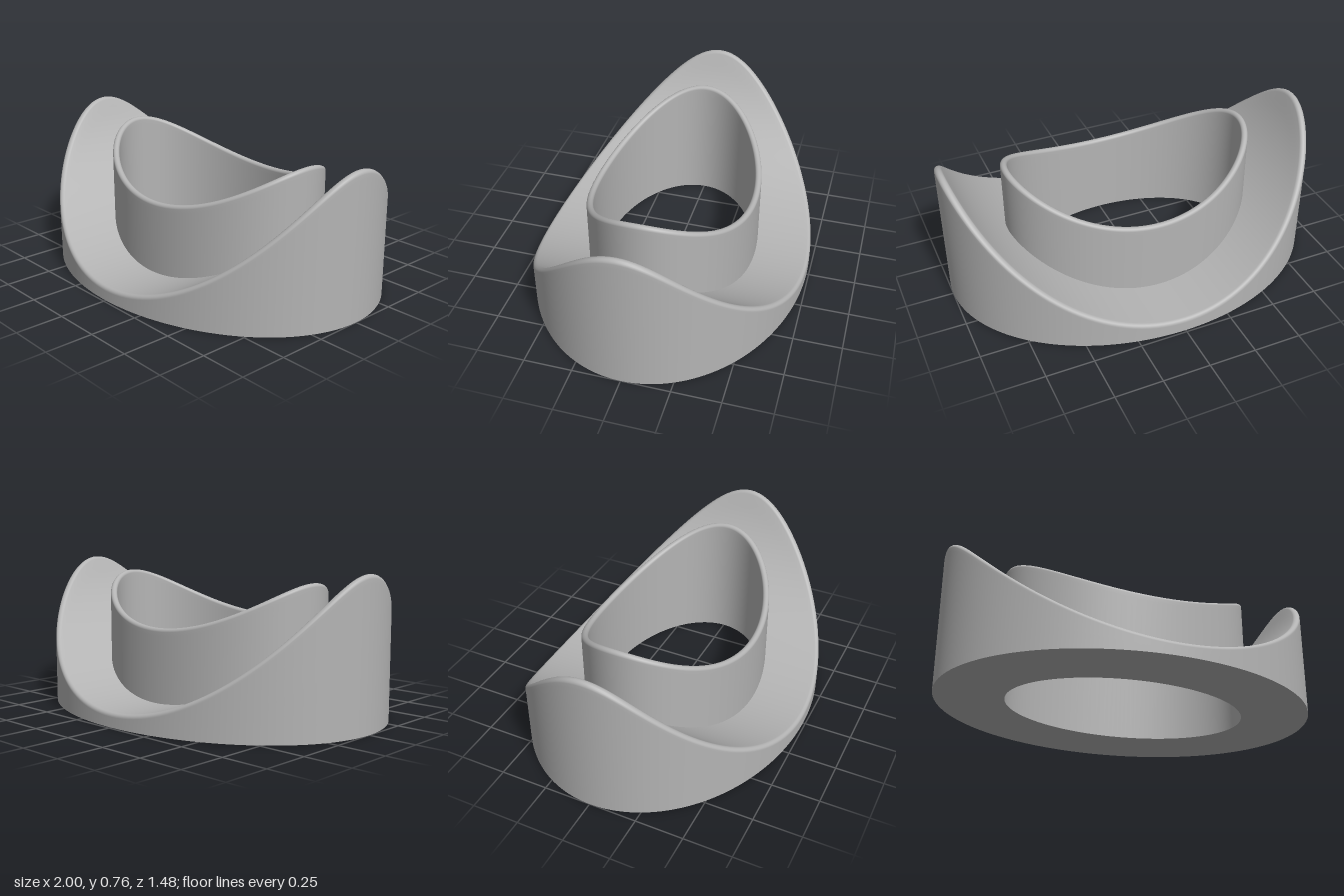
import * as THREE from 'three';

const SEG = 160;
const OUTER = [1, 0.738], COLLAR = [0.675, 0.443];
const WALL = 0.035, FILLET = 0.02;

// Circular-arc heights: the saddle floor and the collar rim both curve along x
const arc = (base, R) => x => base + R - Math.sqrt(R * R - x * x);
const floorY = arc(0.075, 1.02);
const collarY = arc(0.46, 1.03);

// Ellipse point at angle t, moved inward by d along the normal
function ellipse([a, b], t, d = 0) {
  const nx = b * Math.cos(t), nz = a * Math.sin(t), l = Math.hypot(nx, nz);
  return { x: a * Math.cos(t) - d * nx / l, z: b * Math.sin(t) - d * nz / l, nx: nx / l };
}

// Closed sweep of a cross-section that changes with the angle
function sweep(name, profile, material) {
  const pos = [], index = [];
  let n = 0;
  for (let i = 0; i < SEG; i++) {
    const section = profile(i / SEG * Math.PI * 2);
    n = section.length;
    section.forEach(p => pos.push(...p));
  }
  for (let i = 0; i < SEG; i++) {
    for (let j = 0; j < n - 1; j++) {
      const a = i * n + j, b = ((i + 1) % SEG) * n + j;
      index.push(a, a + 1, b, b, a + 1, b + 1);
    }
  }
  const g = new THREE.BufferGeometry();
  g.setAttribute('position', new THREE.Float32BufferAttribute(pos, 3));
  g.setIndex(index);
  g.computeVertexNormals();
  const mesh = new THREE.Mesh(g, material);
  mesh.name = name;
  return mesh;
}

// Outer wall, rounded edge and curved floor running in to the collar
function bodyProfile(t) {
  const at = (d, y) => { const p = ellipse(OUTER, t, d); return [p.x, y, p.z]; };
  const c = ellipse(OUTER, t, FILLET);
  const slope = c.nx * c.x / Math.sqrt(1.02 ** 2 - c.x ** 2);
  const phi = Math.atan(slope);
  const cy = floorY(c.x) - FILLET / Math.cos(phi);
  const pts = [at(0, 0), at(0, cy * 0.5), at(0, cy * 0.97)];
  for (let k = 0; k <= 8; k++) {
    const a = k / 8 * (Math.PI / 2 + phi);
    pts.push(at(FILLET - FILLET * Math.cos(a), cy + FILLET * Math.sin(a)));
  }
  const [x0, , z0] = pts[pts.length - 1];
  const end = ellipse(COLLAR, t, 0.005);
  for (let k = 1; k <= 16; k++) {
    const f = k / 16, x = x0 + (end.x - x0) * f;
    pts.push([x, floorY(x), z0 + (end.z - z0) * f]);
  }
  return pts;
}

// Thin inner collar with a fully rounded rim and a through hole
function collarProfile(t) {
  const at = (d, y) => { const p = ellipse(COLLAR, t, d); return [p.x, y, p.z]; };
  const r = WALL / 2;
  const top = collarY(ellipse(COLLAR, t, r).x) - r;
  const pts = [at(0, floorY(ellipse(COLLAR, t).x) - 0.01), at(0, top - 0.02)];
  for (let k = 0; k <= 12; k++) {
    const a = k / 12 * Math.PI;
    pts.push(at(r - r * Math.cos(a), top + r * Math.sin(a)));
  }
  pts.push(at(WALL, top - 0.02), at(WALL, 0));
  return pts;
}

// Flat underside
function baseProfile(t) {
  const i = ellipse(COLLAR, t, WALL), o = ellipse(OUTER, t);
  return [[i.x, 0, i.z], [o.x, 0, o.z]];
}

export function createModel() {
  const grey = new THREE.MeshStandardMaterial({ color: 0xb4b4b4 });
  grey.name = 'grey';
  const group = new THREE.Group();
  group.name = 'saddleRing';
  group.add(
    sweep('saddleBody', bodyProfile, grey),
    sweep('innerCollar', collarProfile, grey),
    sweep('underside', baseProfile, grey)
  );
  return group;
}
